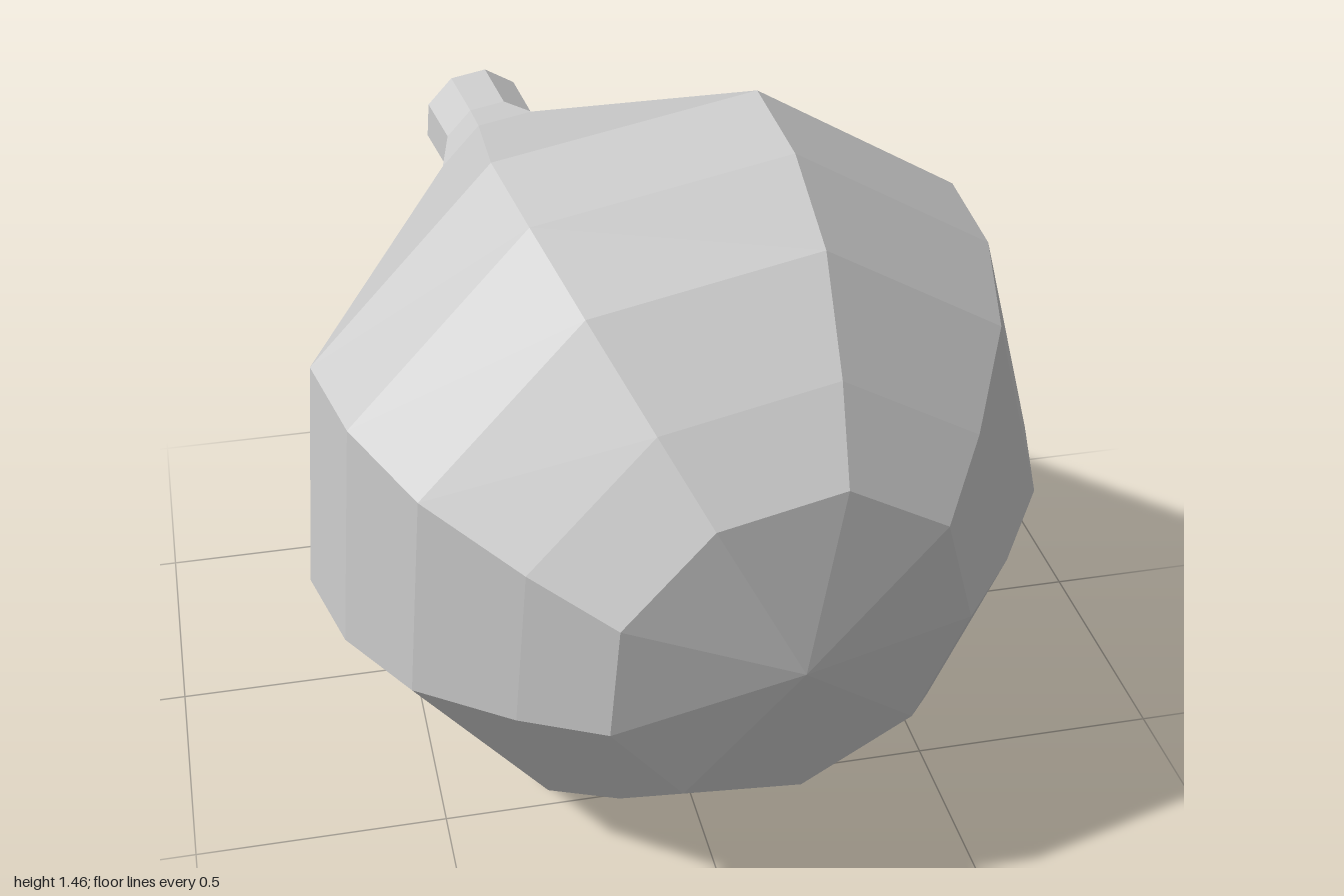
import * as THREE from 'three';

const SIDES = 9;

// Profiles as [radius, distance back along the axis from the front tip]
const headProfile = [
  [0.182, 1.694], [0.745, 0.749], [0.723, 0.557], [0.642, 0.364],
  [0.491, 0.189], [0.353, 0.063], [0, 0],
];
const neckProfile = [[0.122, 2.009], [0.119, 1.857], [0.182, 1.694]];

export function createModel() {
  const model = new THREE.Group();
  model.name = 'bulb';

  const material = new THREE.MeshStandardMaterial({
    color: 0xcccccc, flatShading: true, side: THREE.DoubleSide,
  });

  const addLathe = (name, profile) => {
    const points = profile.map(([r, s]) => new THREE.Vector2(r, -s));
    const geometry = new THREE.LatheGeometry(points, SIDES).toNonIndexed();
    geometry.computeVertexNormals();
    const mesh = new THREE.Mesh(geometry, material);
    mesh.name = name;
    body.add(mesh);
  };

  // Tilted body: local y runs along the axis to the front tip,
  // local z points at the first corner of every ring
  const body = new THREE.Group();
  body.name = 'body';
  const axis = new THREE.Vector3(0.28, -0.19, 1.985).normalize();
  const corner = new THREE.Vector3(0.172, 0.718, 0.046);
  corner.addScaledVector(axis, -corner.dot(axis)).normalize();
  const across = new THREE.Vector3().crossVectors(axis, corner);
  body.quaternion.setFromRotationMatrix(new THREE.Matrix4().makeBasis(across, axis, corner));
  body.position.set(0.09, 0.67, 1);
  model.add(body);

  addLathe('roundedHead', headProfile);
  // Open-ended neck
  addLathe('neck', neckProfile);

  return model;
}
